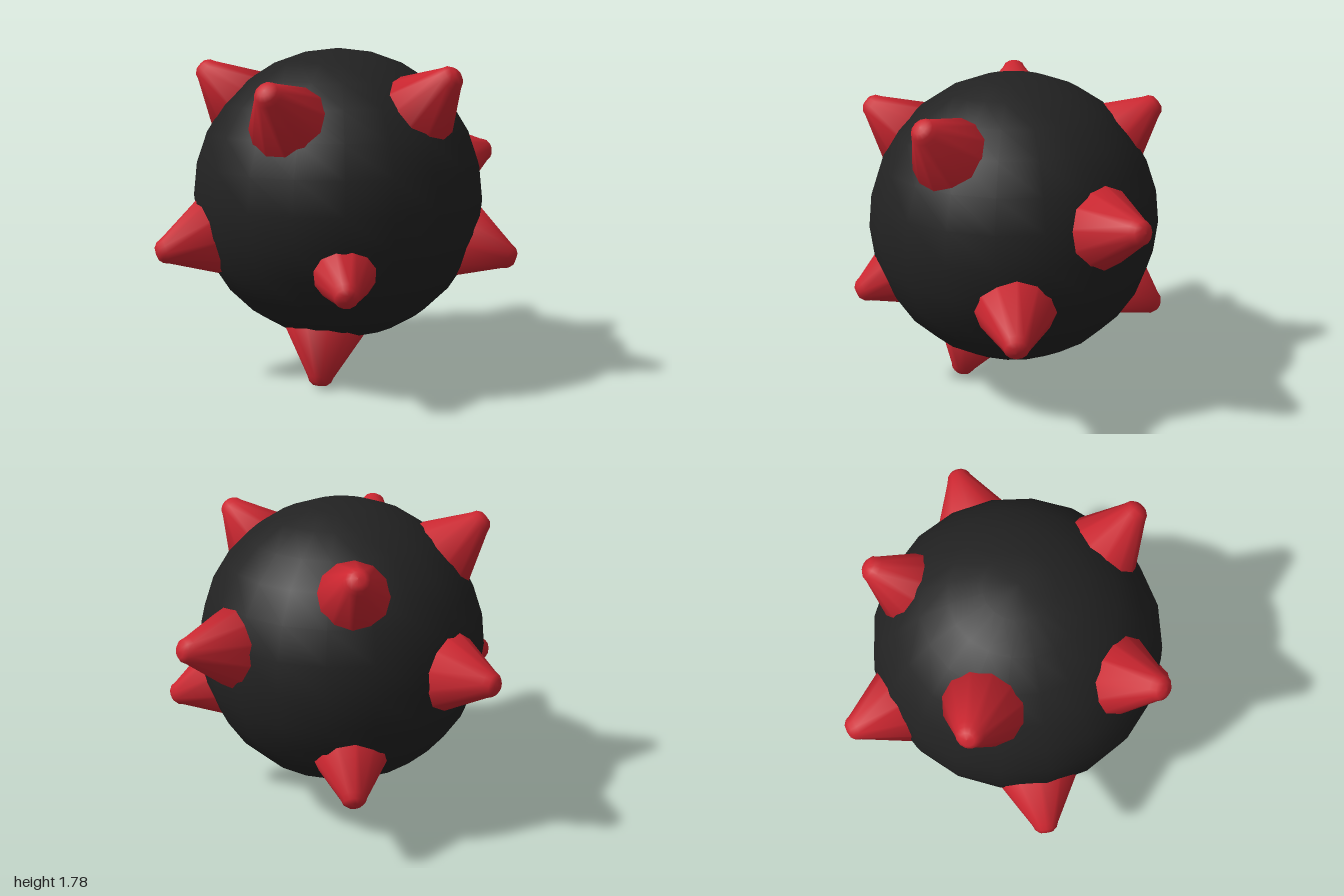
import * as THREE from 'three';

// Spiked ball: a dark sphere with blunt red cones pointing outwards
export function createModel() {
  const model = new THREE.Group();
  const dark = new THREE.MeshStandardMaterial({ color: 0x222222 });
  const red = new THREE.MeshStandardMaterial({ color: 0xcc2630 });
  const centre = new THREE.Vector3(-0.01, 1.0, 0.075);

  const ball = new THREE.Mesh(new THREE.SphereGeometry(0.782, 20, 14), dark);
  ball.name = 'ball';
  ball.position.copy(centre);
  model.add(ball);

  // Spike profile, with the tip at the origin and the base sunk into the ball
  const profile = [[0, -0.42], [0.285, -0.42], [0.07, -0.05], [0.058, -0.022], [0.035, -0.004], [0, 0]];
  const spikeShape = new THREE.LatheGeometry(profile.map(([r, y]) => new THREE.Vector2(r, y)), 12);

  // Direction of each spike and distance of its tip from the ball's centre
  const spikes = [
    [-0.57, 0.58, 0.58, 1.02],
    [0.34, 0.65, 0.675, 1.02],
    [-0.26, -0.37, 0.815, 0.95],
    [0.83, -0.33, 0.455, 1.02],
    [1.0, 0.2, -0.14, 1.03],
    [-0.985, -0.27, -0.04, 1.03],
    [-0.2, -1.0, 0.255, 1.04],
    [-0.65, 0.68, -0.37, 1.03],
    [0.315, 0.61, -0.685, 0.99],
    [0.355, -0.56, -0.725, 1.0],
    [-0.315, 0.03, -0.965, 1.025],
  ];
  const up = new THREE.Vector3(0, 1, 0);
  spikes.forEach(([x, y, z, reach], i) => {
    const dir = new THREE.Vector3(x, y, z).normalize();
    const spike = new THREE.Mesh(spikeShape, red);
    spike.name = `spike${i + 1}`;
    spike.quaternion.setFromUnitVectors(up, dir);
    spike.position.copy(centre).addScaledVector(dir, reach);
    model.add(spike);
  });
  return model;
}
